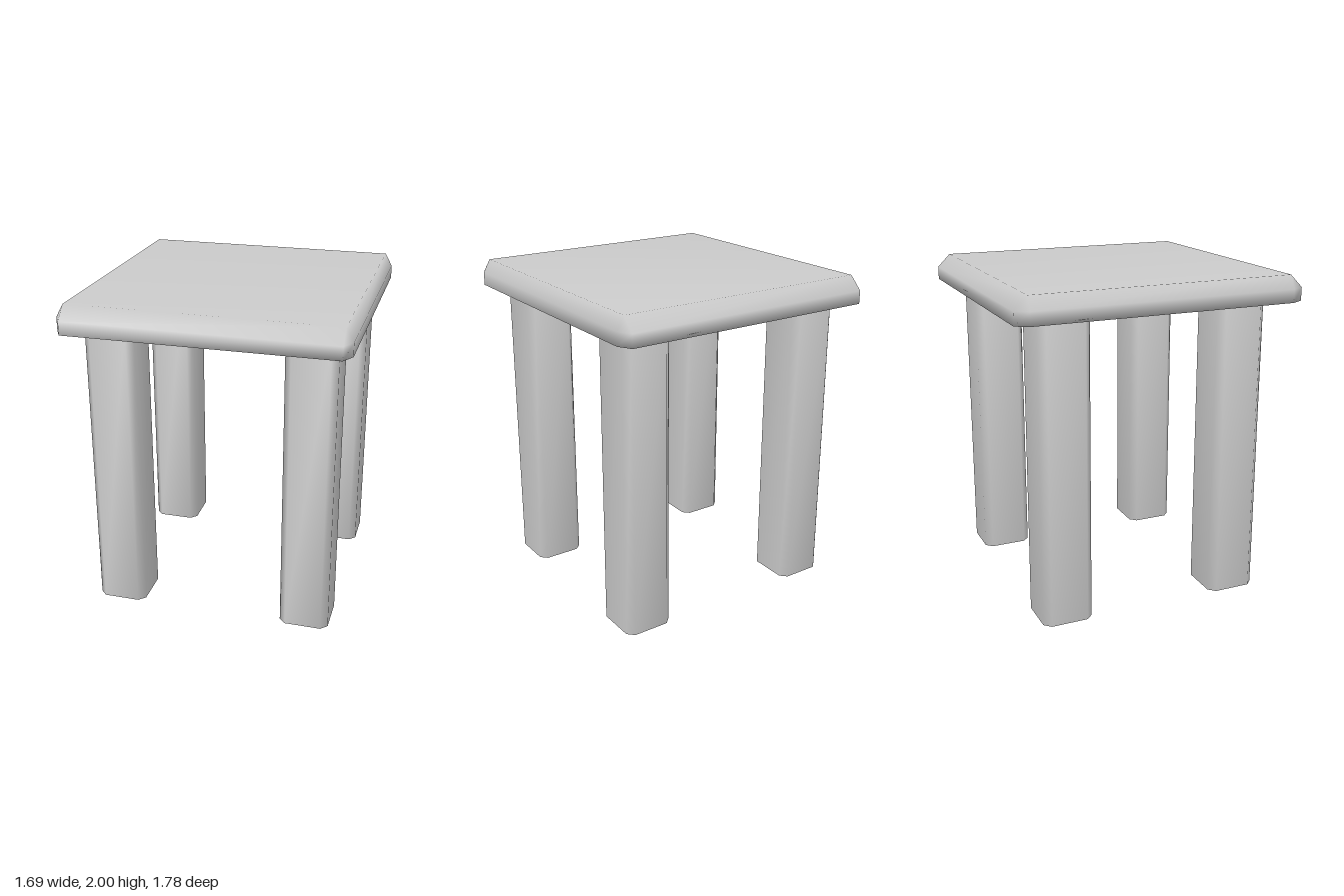
import * as THREE from 'three';

const material = new THREE.MeshStandardMaterial({ color: 0xcccccc });

// Rectangle with cut corners, two points per corner, anticlockwise from above
function octagon(hx, hz, cx, cz) {
  const ix = hx - cx, iz = hz - cz;
  return [[ix, hz], [hx, iz], [hx, -iz], [ix, -hz], [-ix, -hz], [-hx, -iz], [-hx, iz], [-ix, hz]];
}

// Smooth-shaded block with cut corners; bevel > 0 also slopes the upper edges to a rectangle
function cutBlock(width, height, depth, cx, cz, bevel = 0) {
  const hx = width / 2, hz = depth / 2;
  const ring = octagon(hx, hz, cx, cz);
  const positions = [], index = [], rings = [];
  const addRing = (points, y) => {
    const start = positions.length / 3;
    points.forEach(([x, z]) => positions.push(x, y, z));
    rings.push(ring.map((_, i) => start + Math.floor(i * points.length / ring.length)));
  };
  addRing(ring, 0);
  addRing(ring, height - bevel);
  if (bevel > 0) {
    const ix = hx - cx, iz = hz - cz;
    addRing([[ix, iz], [ix, -iz], [-ix, -iz], [-ix, iz]], height);
  }
  const tri = (a, b, c) => { if (a !== b && b !== c && a !== c) index.push(a, b, c); };
  for (let r = 0; r + 1 < rings.length; r++) {
    const lo = rings[r], hi = rings[r + 1];
    for (let i = 0; i < 8; i++) {
      const j = (i + 1) % 8;
      tri(lo[i], lo[j], hi[j]);
      tri(lo[i], hi[j], hi[i]);
    }
  }
  // Caps share the wall vertices so the edges shade softly
  const bottom = rings[0], top = rings[rings.length - 1];
  for (let i = 1; i < 7; i++) {
    tri(top[0], top[i], top[i + 1]);
    tri(bottom[0], bottom[i + 1], bottom[i]);
  }
  const geometry = new THREE.BufferGeometry();
  geometry.setAttribute('position', new THREE.Float32BufferAttribute(positions, 3));
  geometry.setIndex(index);
  geometry.computeVertexNormals();
  return geometry;
}

export function createModel() {
  const model = new THREE.Group();
  model.name = 'table';

  const legHeight = 1.84;

  // Bevelled top slab
  const top = new THREE.Mesh(cutBlock(1.69, 0.16, 1.78, 0.045, 0.08, 0.08), material);
  top.name = 'tableTop';
  top.position.y = legHeight;
  model.add(top);

  // Four legs, the set sitting slightly towards the back
  const legGeometry = cutBlock(0.305, legHeight, 0.31, 0.04, 0.04);
  for (const [endName, z] of [['front', 0.53], ['back', -0.58]]) {
    for (const [sideName, x] of [['Left', 0.595], ['Right', -0.6]]) {
      const leg = new THREE.Mesh(legGeometry, material);
      leg.name = `${endName}${sideName}Leg`;
      leg.position.set(x, 0, z);
      model.add(leg);
    }
  }
  return model;
}
